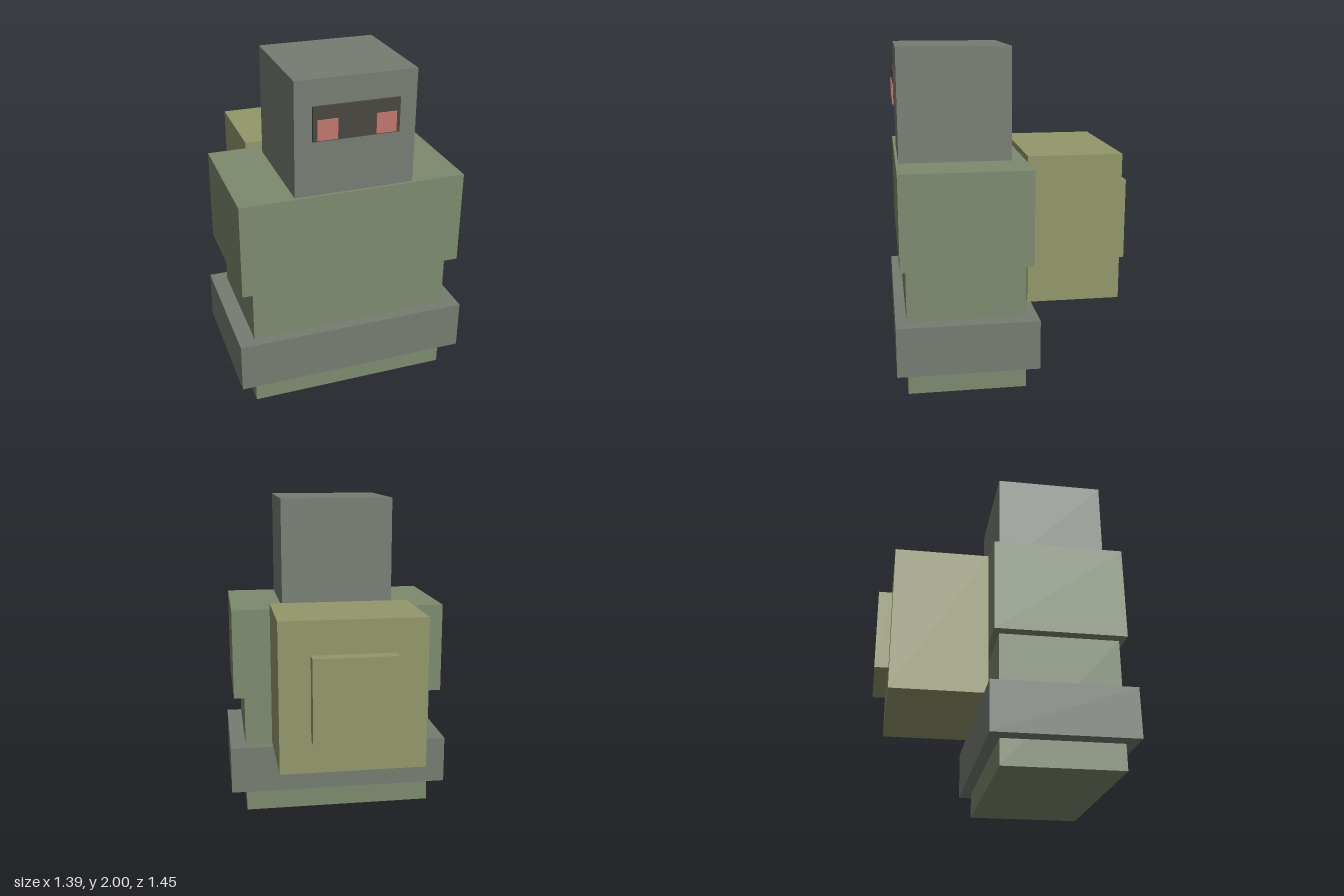
import * as THREE from 'three';

const material = (name, color) => {
  const m = new THREE.MeshStandardMaterial({ color });
  m.name = name;
  return m;
};

export function createModel() {
  const model = new THREE.Group();
  model.name = 'blockyTraveller';

  const grey = material('stone grey', 0x767c72);
  const green = material('moss green', 0x7c8a6e);
  const olive = material('pack olive', 0x92976a);
  const dark = material('visor dark', 0x48463f);
  const red = material('eye red', 0xc0766e);

  // Box given by its extents on each axis
  const block = (name, mat, [x0, x1], [y0, y1], [z0, z1]) => {
    const mesh = new THREE.Mesh(new THREE.BoxGeometry(x1 - x0, y1 - y0, z1 - z0), mat);
    mesh.name = name;
    mesh.position.set((x0 + x1) / 2, (y0 + y1) / 2, (z0 + z1) / 2);
    model.add(mesh);
  };

  // Body
  block('torso', green, [-0.6, 0.6], [0, 0.77], [-0.04, 0.66]);
  block('belt', grey, [-0.697, 0.697], [0.153, 0.45], [-0.108, 0.725]);
  block('chest', green, [-0.667, 0.667], [0.77, 1.333], [-0.075, 0.692]);

  // Head and face
  block('head', grey, [-0.348, 0.348], [1.333, 2], [0.008, 0.675]);
  block('visor', dark, [-0.248, 0.248], [1.655, 1.852], [0.675, 0.69]);
  for (const side of [-1, 1]) {
    const x = side * 0.168;
    block(side > 0 ? 'leftEye' : 'rightEye', red, [x - 0.058, x + 0.058], [1.662, 1.778], [0.69, 0.698]);
  }

  // Backpack
  block('backpack', olive, [-0.432, 0.432], [0.472, 1.37], [-0.642, -0.075]);
  block('backpackPocket', olive, [-0.248, 0.248], [0.67, 1.17], [-0.725, -0.642]);

  return model;
}
